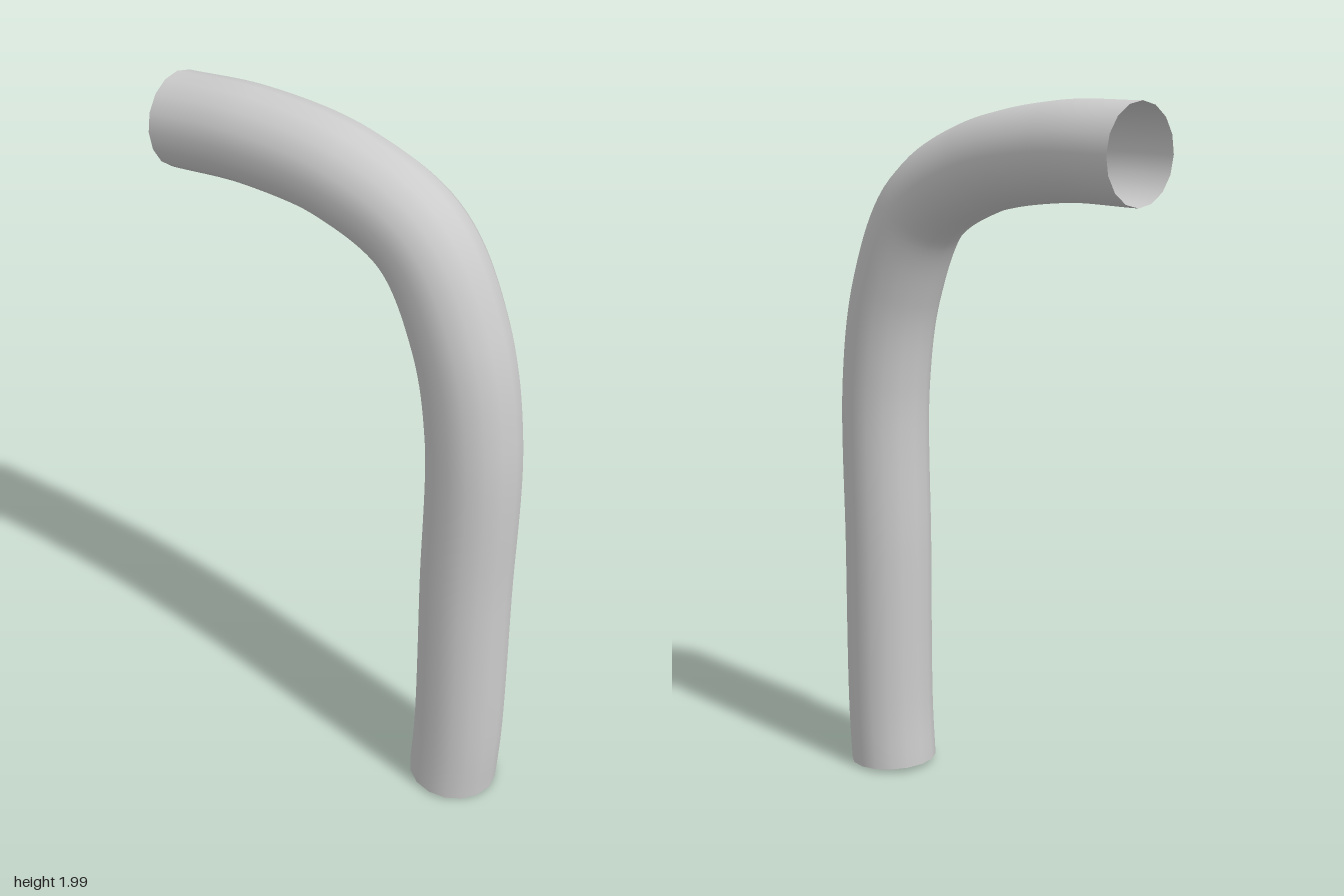
import * as THREE from 'three';

export function createModel() {
  const group = new THREE.Group();
  group.name = 'bentPipe';

  // Centre line: up the slightly kicked foot, round the elbow, out along the arm
  const path = new THREE.CatmullRomCurve3([
    [0.4, 0.022], [0.411, 0.2], [0.413, 0.7], [0.413, 1.2], [0.36, 1.48],
    [0.235, 1.715], [0.01, 1.828], [-0.28, 1.87], [-0.542, 1.863],
  ].map(([x, y]) => new THREE.Vector3(x, y, 0)));

  // Thin hollow pipe, open at both ends
  const pipe = new THREE.Mesh(
    new THREE.TubeGeometry(path, 96, 0.13, 16, false),
    new THREE.MeshStandardMaterial({ color: 0xcccccc, side: THREE.DoubleSide })
  );
  pipe.name = 'pipe';
  group.add(pipe);
  return group;
}
